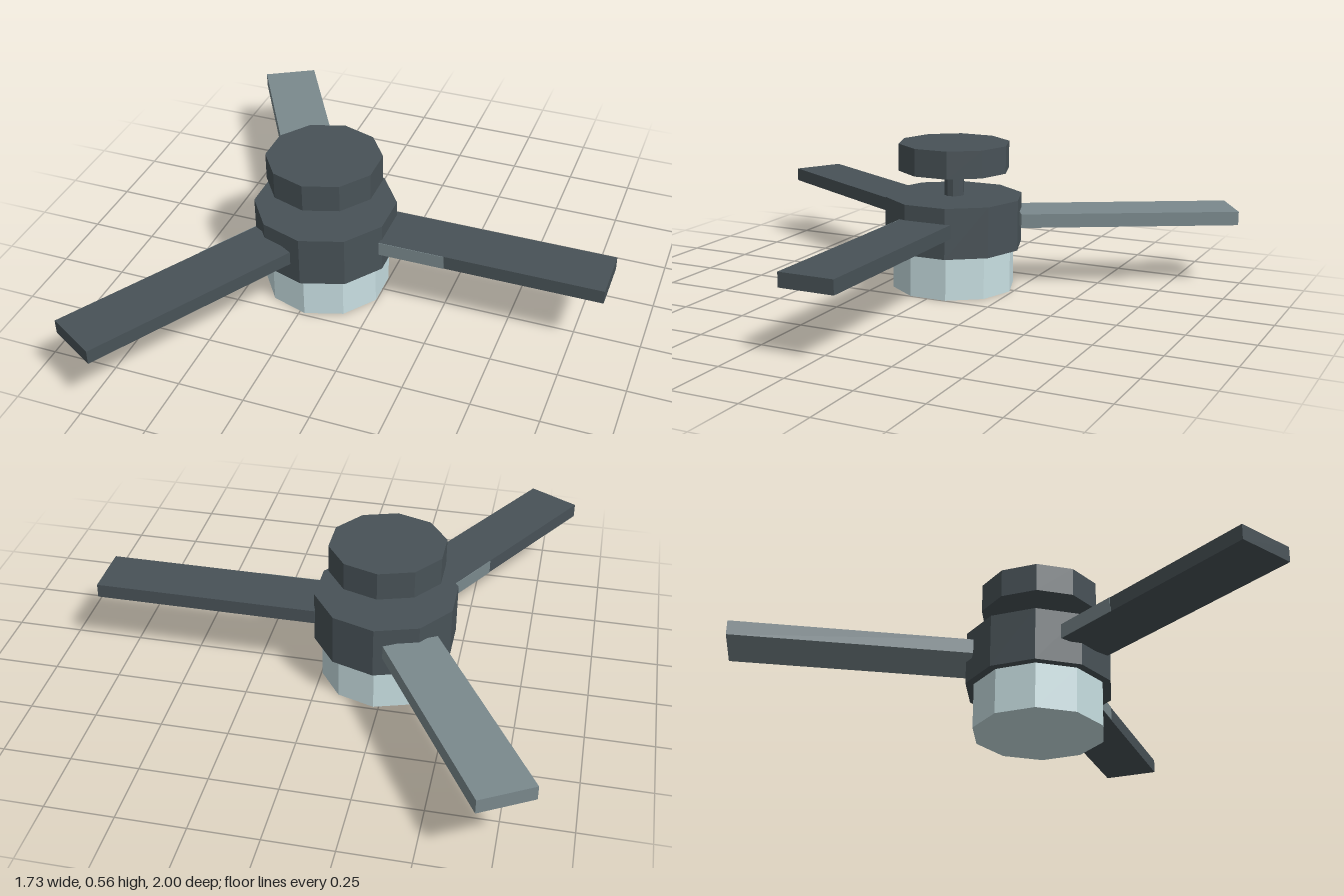
import * as THREE from 'three';

function flat(name, color) {
  const m = new THREE.MeshStandardMaterial({ color });
  m.name = name;
  m.flatShading = true;
  return m;
}

export function createModel() {
  const fan = new THREE.Group();
  fan.name = 'ceilingFan';
  const dark = flat('darkMetal', 0x485257);
  const mid = flat('lightMetal', 0x7a898d);
  const glass = flat('lampGlass', 0xc8dfe2);

  // everything turns around this axis
  const body = new THREE.Group();
  body.name = 'fanBody';
  body.position.x = -0.23;
  fan.add(body);

  // ten-sided drums stacked along the axis
  const drum = (name, radius, y0, y1, material) => {
    const mesh = new THREE.Mesh(new THREE.CylinderGeometry(radius, radius, y1 - y0, 10), material);
    mesh.name = name;
    mesh.position.y = (y0 + y1) / 2;
    body.add(mesh);
  };
  drum('lamp', 0.238, 0, 0.166, glass);
  drum('motorHousing', 0.268, 0.166, 0.36, dark);
  drum('rod', 0.038, 0.36, 0.46, dark);
  drum('ceilingMount', 0.216, 0.46, 0.565, dark);

  // three blades, the last one in the lighter metal
  const inner = 0.25, outer = 1.092, width = 0.21, thick = 0.053;
  for (let i = 0; i < 3; i++) {
    const arm = new THREE.Group();
    arm.name = 'bladeArm' + (i + 1);
    arm.position.y = 0.274;
    arm.rotation.y = -i * Math.PI * 2 / 3;

    const blade = new THREE.Mesh(
      new THREE.BoxGeometry(outer - inner, thick, width), i === 2 ? mid : dark);
    blade.name = 'blade';
    blade.position.x = (inner + outer) / 2;
    arm.add(blade);

    // light strip on the edge near the housing
    if (i < 2) {
      const strip = new THREE.Mesh(new THREE.BoxGeometry(0.25, thick, 0.002), mid);
      strip.name = 'edgeStrip';
      strip.position.set(inner + 0.125, 0, width / 2 + 0.001);
      arm.add(strip);
    }
    body.add(arm);
  }
  return fan;
}
